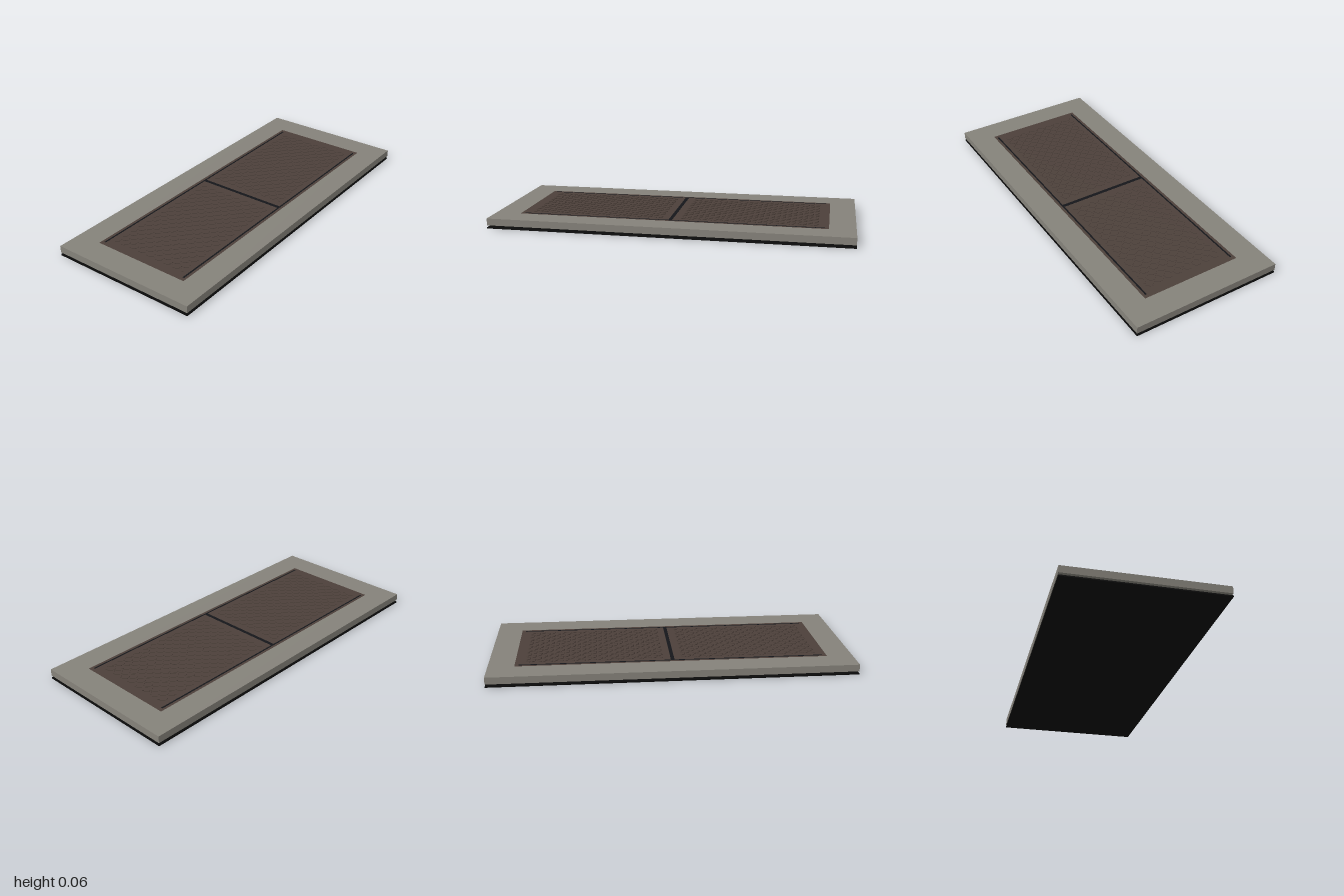
import * as THREE from 'three';
import { mergeGeometries } from 'three/addons/utils/BufferGeometryUtils.js';

const SLAB_BOTTOM = 0.018, SLAB_TOP = 0.057;

const material = (color) => new THREE.MeshStandardMaterial({ color });
const stone = material(0x85827a);
const rust = material(0x4c403a);
const seamDark = material(0x15161a);
const black = material(0x0a0a0a);

function rect(shape, hx, hz) {
  shape.moveTo(-hx, -hz);
  shape.lineTo(hx, -hz);
  shape.lineTo(hx, hz);
  shape.lineTo(-hx, hz);
  shape.closePath();
  return shape;
}

export function createModel() {
  const model = new THREE.Group();
  model.name = 'floorHatch';

  const add = (name, geometry, mat, parent = model) => {
    const mesh = new THREE.Mesh(geometry, mat);
    mesh.name = name;
    parent.add(mesh);
    return mesh;
  };
  // Box given by its size and its top height
  const box = (name, w, h, d, x, top, z, mat, parent) =>
    add(name, new THREE.BoxGeometry(w, h, d), mat, parent).position.set(x, top - h / 2, z);

  // Thin dark sheet below the slab
  box('baseSheet', 2, 0.007, 0.854, 0, 0.007, 0, black);

  // Stone surround with a rectangular opening
  const outline = rect(new THREE.Shape(), 1, 0.427);
  outline.holes.push(rect(new THREE.Path(), 0.857, 0.286));
  const surround = new THREE.ExtrudeGeometry(outline, { depth: SLAB_TOP - SLAB_BOTTOM, bevelEnabled: false });
  surround.rotateX(-Math.PI / 2).translate(0, SLAB_BOTTOM, 0);
  add('stoneSurround', surround, stone);

  // Metal plate filling the opening
  box('metalPlate', 1.714, SLAB_TOP - SLAB_BOTTOM - 0.0005, 0.572, 0, SLAB_TOP - 0.0005, 0, rust);

  // Dark seams: one between the leaves, one along each long edge
  box('centreSeam', 0.02, 0.004, 0.54, 0, SLAB_TOP, 0, seamDark);
  for (const side of [-1, 1]) {
    box(side > 0 ? 'frontSeam' : 'backSeam', 1.67, 0.004, 0.009, 0, SLAB_TOP, side * 0.266, seamDark);
  }

  // Raised tread bars, alternating in direction, on both leaves
  const columns = 25, rows = 16, pitch = 0.0302;
  for (const side of [-1, 1]) {
    const bars = [];
    for (let i = 0; i < columns; i++) {
      for (let j = 0; j < rows; j++) {
        const bar = new THREE.BoxGeometry(0.028, 0.0045, 0.008);
        bar.rotateY(((i + j) % 2 ? 1 : -1) * Math.PI / 4);
        bar.translate(side * (0.063 + i * pitch), 0.0576, (j - (rows - 1) / 2) * 0.0294);
        bars.push(bar);
      }
    }
    add(side > 0 ? 'leftTread' : 'rightTread', mergeGeometries(bars), rust);
  }

  return model;
}
